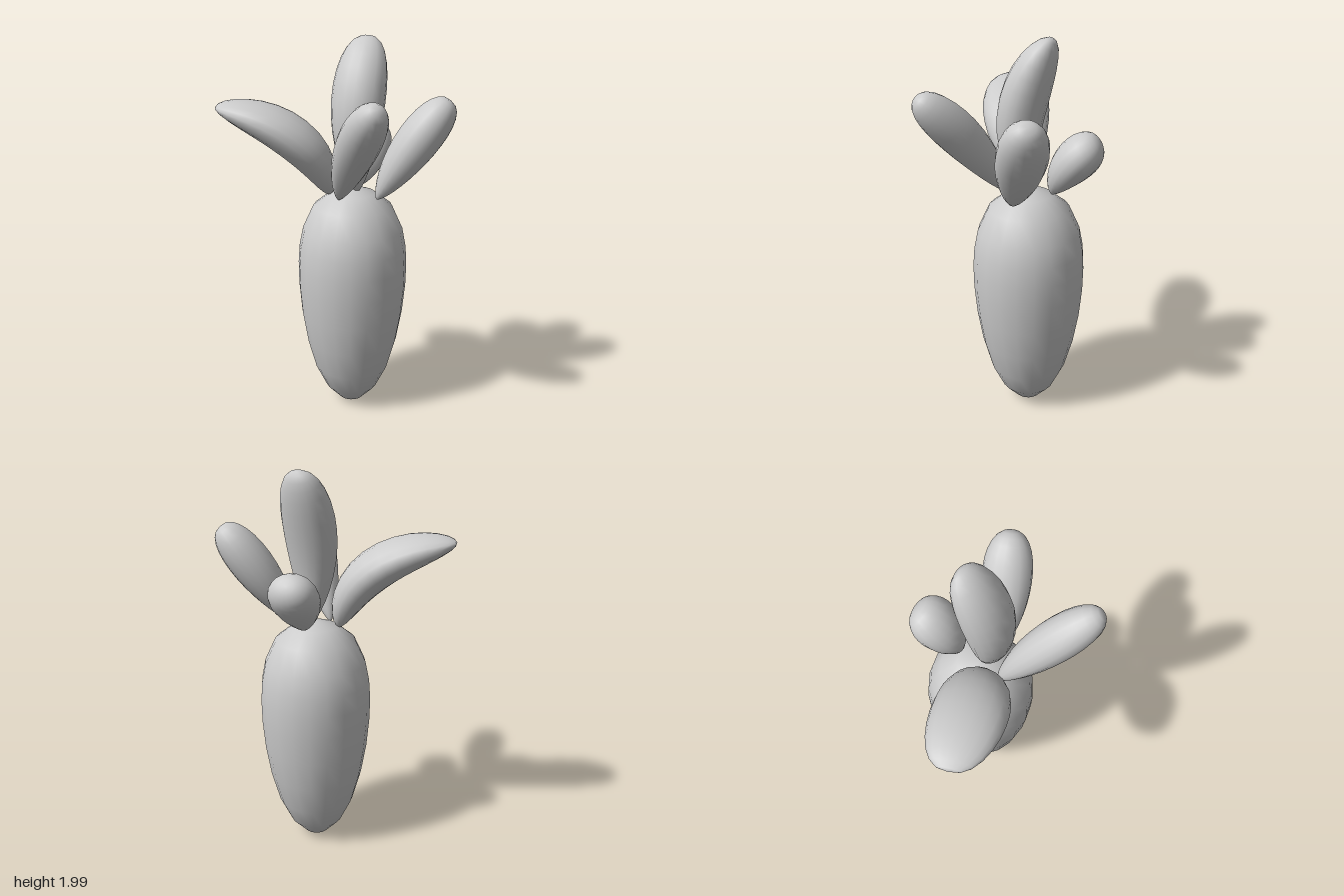
import * as THREE from 'three';
import { mergeVertices } from 'three/addons/utils/BufferGeometryUtils.js';

const material = new THREE.MeshStandardMaterial({ color: 0xcccccc });

// Weld the seam so the shading stays smooth all round
function smooth(geometry) {
  geometry.deleteAttribute('uv');
  geometry.deleteAttribute('normal');
  const welded = mergeVertices(geometry, 1e-5);
  welded.computeVertexNormals();
  return welded;
}

// Teardrop fullness along a leaf, at most 1: p shapes the base, q the tip
function fullness(t, p, q) {
  const peak = p / (p + q);
  return Math.pow(t / peak, p) * Math.pow((1 - t) / (1 - peak), q);
}

// Bend a sphere along a curve from base to tip, with an elliptical section
function leafGeometry(base, control, tip, halfWidth, halfThickness, p = 0.72, q = 0.4) {
  const [a, b, c] = [base, control, tip].map((v) => new THREE.Vector3(...v));
  const curve = new THREE.QuadraticBezierCurve3(a, b, c);
  const side = new THREE.Vector3(c.z - a.z, 0, a.x - c.x).normalize();
  const geometry = new THREE.SphereGeometry(1, 18, 16);
  const pos = geometry.attributes.position;
  for (let i = 0; i < pos.count; i++) {
    const t = THREE.MathUtils.clamp((pos.getY(i) + 1) / 2, 0, 1);
    const x = pos.getX(i), z = pos.getZ(i);
    const radius = Math.max(Math.hypot(x, z), 1e-6);
    const normal = side.clone().cross(curve.getTangent(t)).normalize();
    const point = curve.getPoint(t)
      .addScaledVector(side, (x / radius) * halfWidth * fullness(t, 0.72, 0.4))
      .addScaledVector(normal, (z / radius) * halfThickness * fullness(t, p, q));
    pos.setXYZ(i, point.x, point.y, point.z);
  }
  return smooth(geometry);
}

export function createModel() {
  const group = new THREE.Group();
  const add = (name, geometry) => {
    const mesh = new THREE.Mesh(geometry, material);
    mesh.name = name;
    group.add(mesh);
    return mesh;
  };

  // Root: a plump body tapering to a rounded bottom
  const profile = [
    [0, 0.005], [0.065, 0.02], [0.14, 0.1], [0.2, 0.225], [0.244, 0.385],
    [0.271, 0.545], [0.285, 0.7], [0.287, 0.82], [0.28, 0.92], [0.26, 1.02],
    [0.205, 1.14], [0.115, 1.21], [0, 1.237],
  ].map(([r, y]) => new THREE.Vector2(r, y));
  add('root', smooth(new THREE.LatheGeometry(profile, 20))).position.set(0.075, 0, -0.07);

  // Leaves: base, bend, tip, half width, half thickness, thickness shape
  add('rightLeaf', leafGeometry([-0.035, 1.2, -0.02], [-0.08, 1.57, 0.05], [-0.585, 1.65, 0.145], 0.175, 0.105, 0.6, 0.6));
  add('frontLeaf', leafGeometry([0.04, 1.2, 0.05], [0.16, 1.5, 0.19], [0.35, 1.74, 0.4], 0.105, 0.105));
  add('leftLeaf', leafGeometry([0.22, 1.2, -0.02], [0.35, 1.45, -0.09], [0.545, 1.7, -0.165], 0.122, 0.108));
  add('middleLeaf', leafGeometry([0.1, 1.215, -0.065], [0.105, 1.62, 0.06], [0.11, 1.99, -0.185], 0.138, 0.115, 0.72, 0.5));
  add('backLeaf', leafGeometry([0.08, 1.22, -0.185], [0.075, 1.4, -0.26], [0.065, 1.505, -0.415], 0.125, 0.105));

  return group;
}
